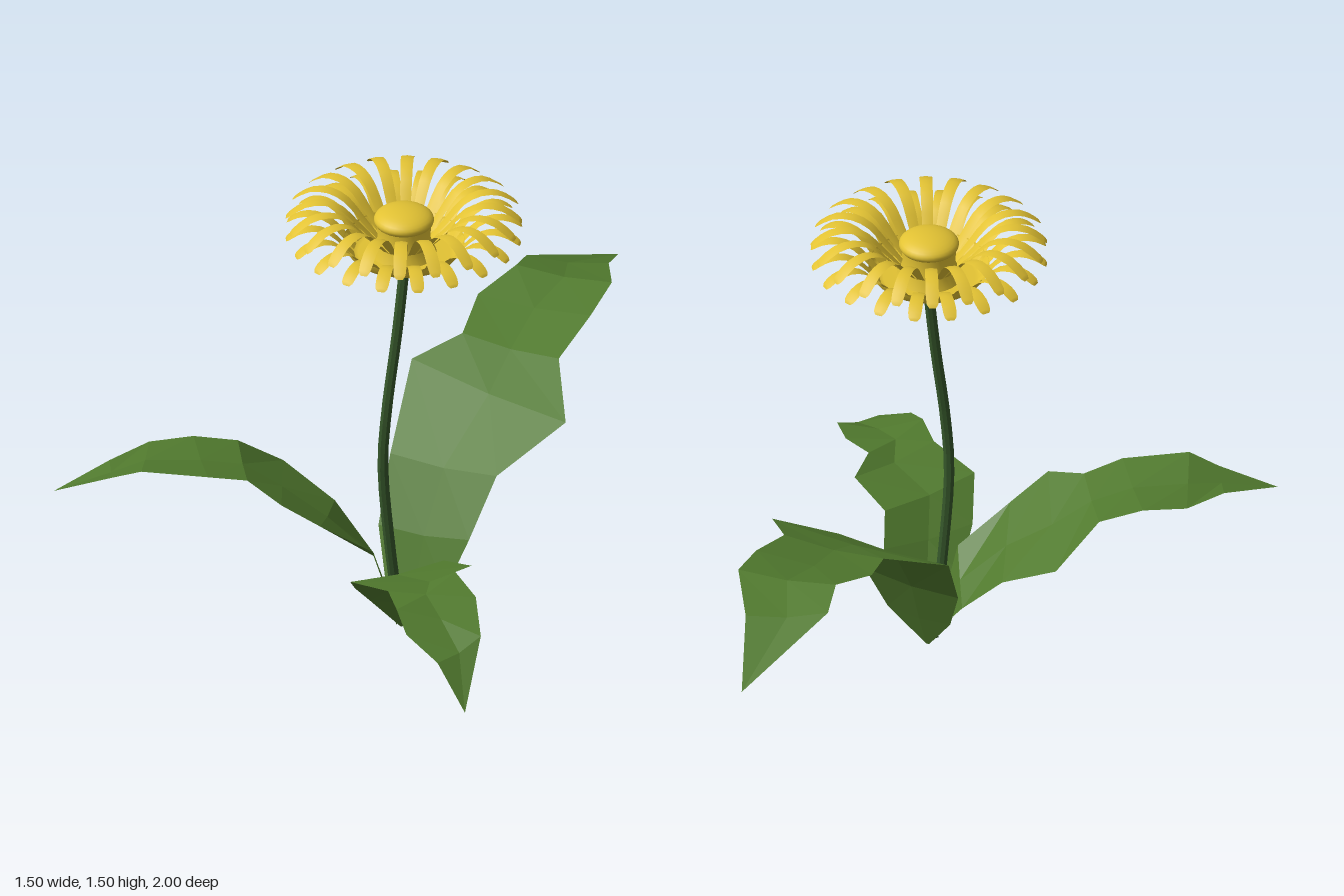
import * as THREE from 'three';

const material = (color, extra = {}) => new THREE.MeshStandardMaterial({ color, ...extra });
const leafMat = material(0x517a2e, { flatShading: true, side: THREE.DoubleSide });
const stemMat = material(0x35562a, { flatShading: true });
const calyxMat = material(0x2f5a2a);
const petalMat = material(0xe2c233, { side: THREE.DoubleSide });
const discMat = material(0xe2c233);

// Blade between two edges; each row is [left xyz, right xyz], with a sunken midrib
function bladeGeometry(rows, fold) {
  const pos = [], index = [];
  rows.forEach(([ax, ay, az, bx, by, bz], i) => {
    const drop = i === 0 || i === rows.length - 1 ? 0 : fold;
    pos.push(ax, ay, az, (ax + bx) / 2, (ay + by) / 2 - drop, (az + bz) / 2, bx, by, bz);
    if (i === rows.length - 1) return;
    for (let c = 0; c < 2; c++) {
      const k = i * 3 + c;
      index.push(k, k + 1, k + 3, k + 1, k + 4, k + 3);
    }
  });
  const g = new THREE.BufferGeometry();
  g.setAttribute('position', new THREE.Float32BufferAttribute(pos, 3));
  g.setIndex(index);
  g.computeVertexNormals();
  return g;
}

const leaves = {
  backLeaf: [
    [0.16, 0, 0.33, 0.17, 0, 0.33],
    [0.07, 0.12, 0.29, 0.28, 0.13, 0.29],
    [0.02, 0.26, 0.24, 0.33, 0.29, 0.23],
    [0, 0.45, 0.13, 0.365, 0.47, 0.12],
    [-0.07, 0.63, -0.13, 0.5, 0.6, -0.07],
    [0.04, 0.69, -0.25, 0.37, 0.69, -0.26],
    [0.005, 0.735, -0.41, 0.375, 0.745, -0.45],
    [0.055, 0.775, -0.56, 0.36, 0.775, -0.61],
    [0.03, 0.745, -0.67, 0.26, 0.73, -0.77],
    [0.165, 0.615, -1, 0.165, 0.615, -1],
  ],
  rightLeaf: [
    [0.16, 0.02, 0.38, 0.16, 0.02, 0.36],
    [0.12, 0.3, 0.45, 0.03, 0.19, 0.29],
    [0, 0.42, 0.57, -0.11, 0.33, 0.28],
    [-0.09, 0.51, 0.65, -0.29, 0.42, 0.28],
    [-0.22, 0.55, 0.63, -0.37, 0.54, 0.42],
    [-0.31, 0.58, 0.715, -0.48, 0.565, 0.5],
    [-0.49, 0.597, 0.81, -0.59, 0.555, 0.58],
    [-0.58, 0.56, 0.83, -0.65, 0.545, 0.72],
    [-0.75, 0.495, 0.89, -0.75, 0.495, 0.89],
  ],
  leftLeaf: [
    [0.18, 0.01, 0.36, 0.17, 0.01, 0.37],
    [0.29, 0.13, 0.35, 0.135, 0.16, 0.5],
    [0.34, 0.26, 0.39, 0.15, 0.27, 0.62],
    [0.37, 0.35, 0.46, 0.2, 0.37, 0.74],
    [0.5, 0.4, 0.52, 0.36, 0.41, 0.79],
    [0.5, 0.43, 0.62, 0.44, 0.415, 0.88],
    [0.61, 0.41, 0.69, 0.51, 0.38, 0.945],
    [0.7, 0.365, 0.82, 0.63, 0.325, 0.965],
    [0.745, 0.2, 1, 0.745, 0.2, 1],
  ],
};

// Petal swept outward along +x; profile points are [radius, height, half width]
function petalGeometry(profile) {
  const curve = new THREE.CatmullRomCurve3(profile.map(p => new THREE.Vector3(...p)));
  const rows = curve.getPoints(12).map(({ x, y, z: w }) => [x, y, -w, x, y, w]);
  return bladeGeometry(rows, -0.003);
}

function petalRing(name, profile, count, offset) {
  const ring = new THREE.Group();
  ring.name = name;
  const geometry = petalGeometry(profile);
  for (let i = 0; i < count; i++) {
    const petal = new THREE.Mesh(geometry, petalMat);
    petal.name = 'petal';
    petal.rotation.y = ((i + offset) / count) * Math.PI * 2;
    ring.add(petal);
  }
  return ring;
}

function lathe(name, points, mat) {
  const mesh = new THREE.Mesh(new THREE.LatheGeometry(points.map(p => new THREE.Vector2(...p)), 32), mat);
  mesh.name = name;
  return mesh;
}

export function createModel() {
  const model = new THREE.Group();
  model.name = 'flowerPlant';

  // Leaves
  for (const [name, rows] of Object.entries(leaves)) {
    const leaf = new THREE.Mesh(bladeGeometry(rows, 0.012), leafMat);
    leaf.name = name;
    model.add(leaf);
  }

  // Curved stem
  const path = new THREE.CatmullRomCurve3([
    [0.155, 0.02, 0.35], [0.14, 0.3, 0.385], [0.13, 0.6, 0.41],
    [0.142, 0.8, 0.405], [0.16, 1.05, 0.375], [0.172, 1.3, 0.345],
  ].map(p => new THREE.Vector3(...p)));
  const stem = new THREE.Mesh(new THREE.TubeGeometry(path, 16, 0.017, 8), stemMat);
  stem.name = 'stem';
  model.add(stem);

  // Flower head
  const head = new THREE.Group();
  head.name = 'flowerHead';
  head.position.set(0.17, 0, 0.35);
  model.add(head);

  head.add(lathe('calyx', [[0, 1.278], [0.03, 1.28], [0.058, 1.295], [0.077, 1.315], [0.084, 1.332], [0, 1.335]], calyxMat));
  head.add(lathe('petalCup', [[0, 1.33], [0.14, 1.328], [0.165, 1.335], [0.178, 1.352], [0.185, 1.372]], petalMat));

  // Two alternating rings of drooping petals
  head.add(petalRing('lowerPetals', [
    [0.15, 1.33, 0.018], [0.19, 1.375, 0.021], [0.23, 1.415, 0.02], [0.28, 1.432, 0.02],
    [0.325, 1.424, 0.021], [0.355, 1.405, 0.018], [0.362, 1.398, 0.01],
  ], 20, 0));
  head.add(petalRing('upperPetals', [
    [0.08, 1.36, 0.011], [0.135, 1.42, 0.016], [0.185, 1.475, 0.018], [0.24, 1.498, 0.019],
    [0.3, 1.49, 0.02], [0.35, 1.455, 0.018], [0.36, 1.445, 0.01],
  ], 20, 0.5));

  // Domed centre
  const disc = new THREE.Mesh(new THREE.SphereGeometry(0.092, 32, 16), discMat);
  disc.name = 'centreDisc';
  disc.scale.y = 0.4;
  disc.position.y = 1.445;
  head.add(disc);
  head.add(lathe('discBase', [[0.1, 1.33], [0.08, 1.38], [0.085, 1.445]], petalMat));

  return model;
}
